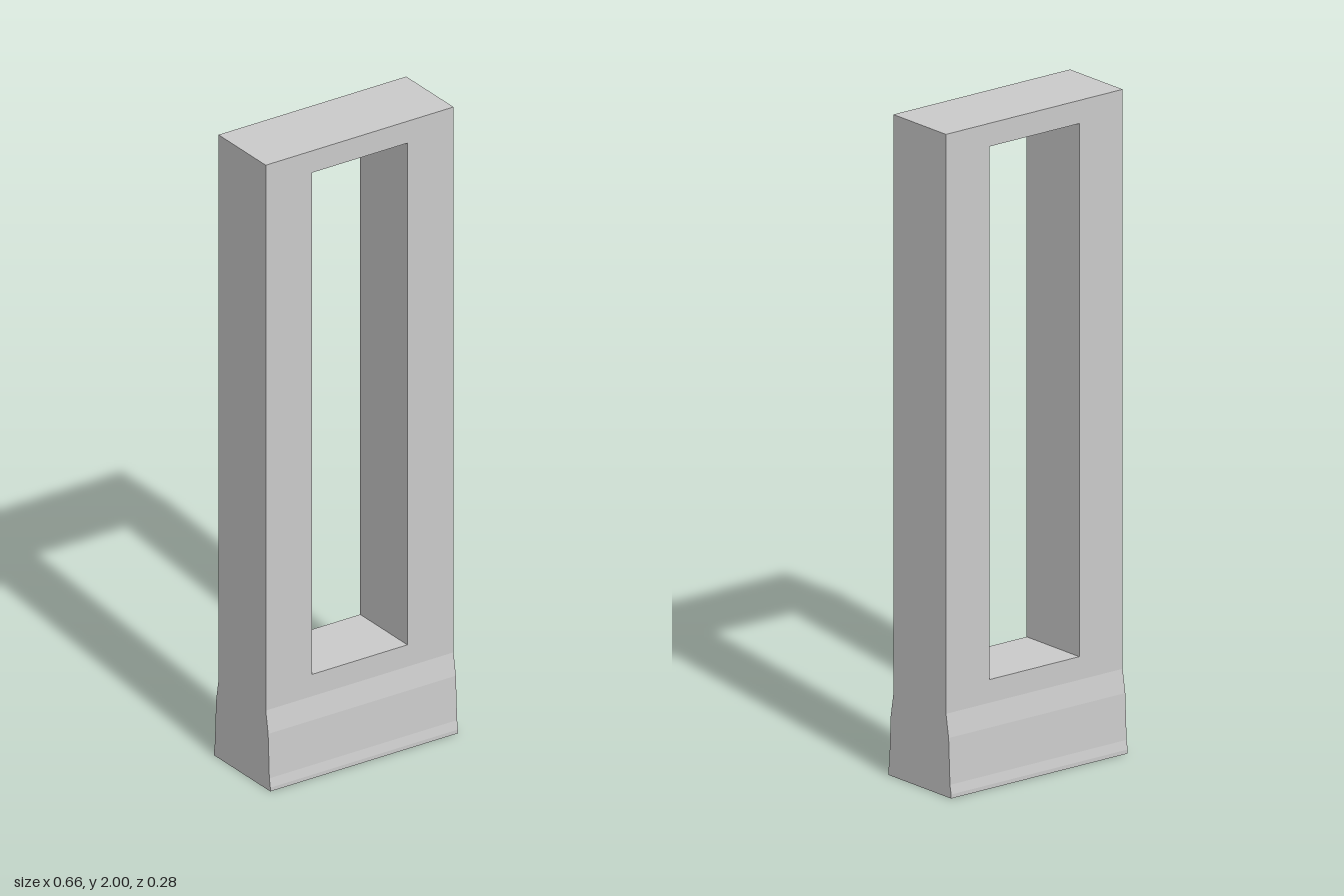
import * as THREE from 'three';

const HALF_WIDTH = 0.328;
const HALF_DEPTH = 0.119;
const BASE_TOP = 0.25;
const TOP = 2;

// Rectangle traced counter-clockwise
function rectPoints(x0, y0, x1, y1) {
  return [[x0, y0], [x1, y0], [x1, y1], [x0, y1]].map(([x, y]) => new THREE.Vector2(x, y));
}

export function createModel() {
  const group = new THREE.Group();
  group.name = 'openFramePillar';
  const material = new THREE.MeshStandardMaterial({ color: 0xcccccc, flatShading: true });

  // Upright frame with a tall rectangular opening
  const frameShape = new THREE.Shape(rectPoints(-HALF_WIDTH, BASE_TOP, HALF_WIDTH, TOP));
  frameShape.holes.push(new THREE.Path(rectPoints(-0.167, 0.32, 0.167, 1.93).reverse()));
  const frameGeometry = new THREE.ExtrudeGeometry(frameShape, { depth: HALF_DEPTH * 2, bevelEnabled: false });
  frameGeometry.translate(0, 0, -HALF_DEPTH);
  const frame = new THREE.Mesh(frameGeometry, material);
  frame.name = 'frame';
  group.add(frame);

  // Flared base: half profile (depth, height) mirrored front to back, run across the width
  const profile = [[0.142, 0], [0.142, 0.012], [0.137, 0.04], [0.131, 0.18], [HALF_DEPTH, BASE_TOP]];
  const mirrored = profile.map(([z, y]) => [-z, y]).reverse();
  const baseShape = new THREE.Shape([...profile, ...mirrored].map(([z, y]) => new THREE.Vector2(z, y)));
  const baseGeometry = new THREE.ExtrudeGeometry(baseShape, { depth: HALF_WIDTH * 2, bevelEnabled: false });
  baseGeometry.translate(0, 0, -HALF_WIDTH);
  baseGeometry.rotateY(-Math.PI / 2);
  const base = new THREE.Mesh(baseGeometry, material);
  base.name = 'flaredBase';
  group.add(base);

  return group;
}
